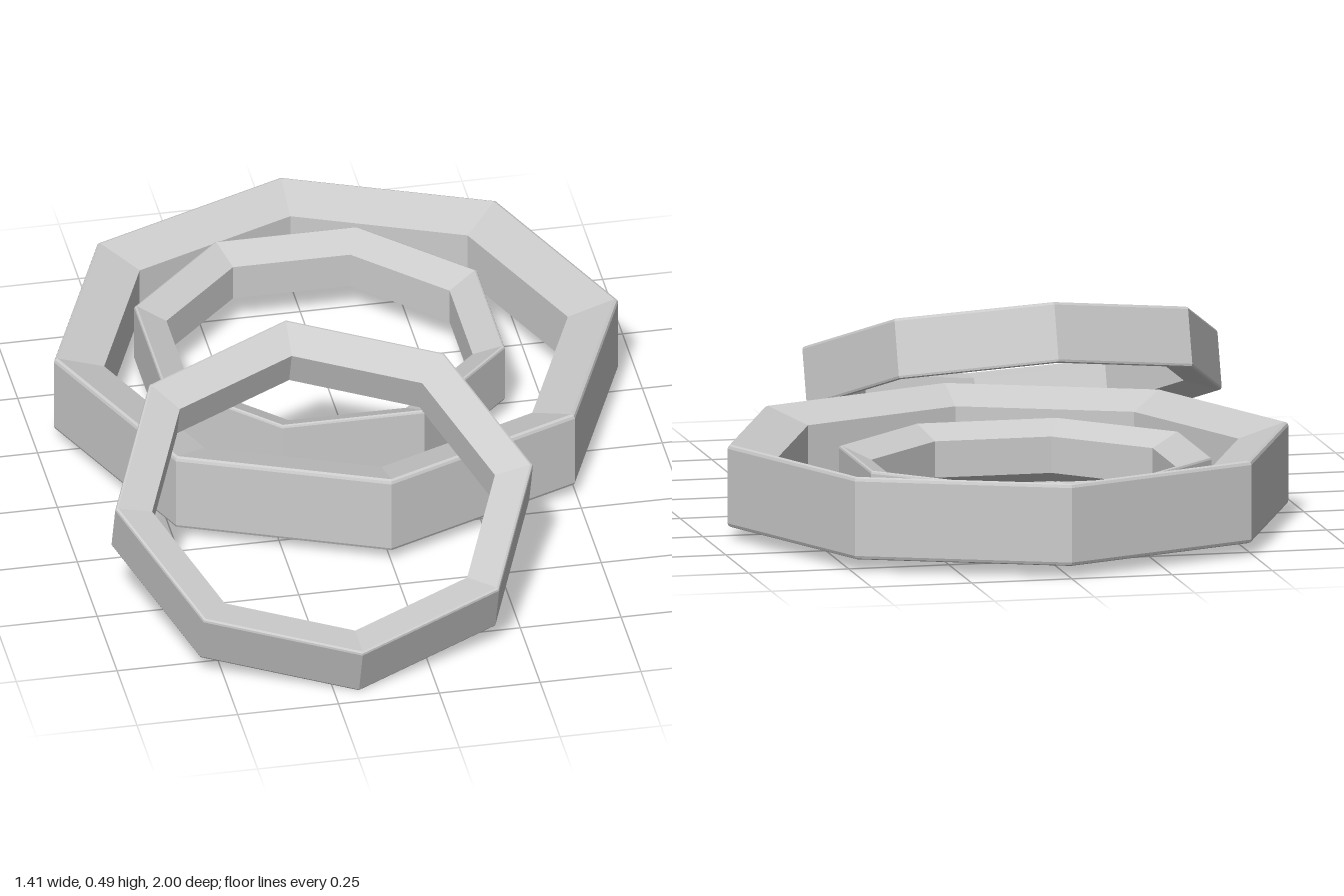
import * as THREE from 'three';

const material = new THREE.MeshStandardMaterial({ color: 0xcccccc, flatShading: true });

// Eight-sided ring: tall outer wall with softened rims, tapering to a lower inner wall
function octagonRing(name, outerR, innerR, outerH, innerH, turn = 0) {
  const b = outerR * 0.014;
  const h = outerH / 2, i = innerH / 2;
  const profile = [
    [innerR, -i], [outerR - b, -h], [outerR - b * 0.3, -h + b * 0.3], [outerR, -h + b],
    [outerR, h - b], [outerR - b * 0.3, h - b * 0.3], [outerR - b, h], [innerR, i], [innerR, -i],
  ].map(([r, y]) => new THREE.Vector2(r, y));
  const geometry = new THREE.LatheGeometry(profile, 8, turn);
  const ring = new THREE.Mesh(geometry, material);
  ring.name = name;
  return ring;
}

export function createModel() {
  const group = new THREE.Group();
  group.name = 'rings';

  // Large ring lying flat
  const large = octagonRing('largeRing', 0.7, 0.575, 0.204, 0.13);
  large.position.set(0, 0.137, -0.3);

  // Small ring lying inside the large one, flat sides on the axes
  const small = octagonRing('smallRing', 0.46, 0.38, 0.156, 0.09, Math.PI / 8);
  small.position.set(-0.027, 0.128, -0.37);

  // Medium ring leaning on the front rim of the large one
  const leaning = octagonRing('leaningRing', 0.518, 0.425, 0.15, 0.096);
  leaning.position.set(-0.19, 0.25, 0.49);
  leaning.rotation.x = THREE.MathUtils.degToRad(20);

  group.add(large, small, leaning);
  return group;
}
